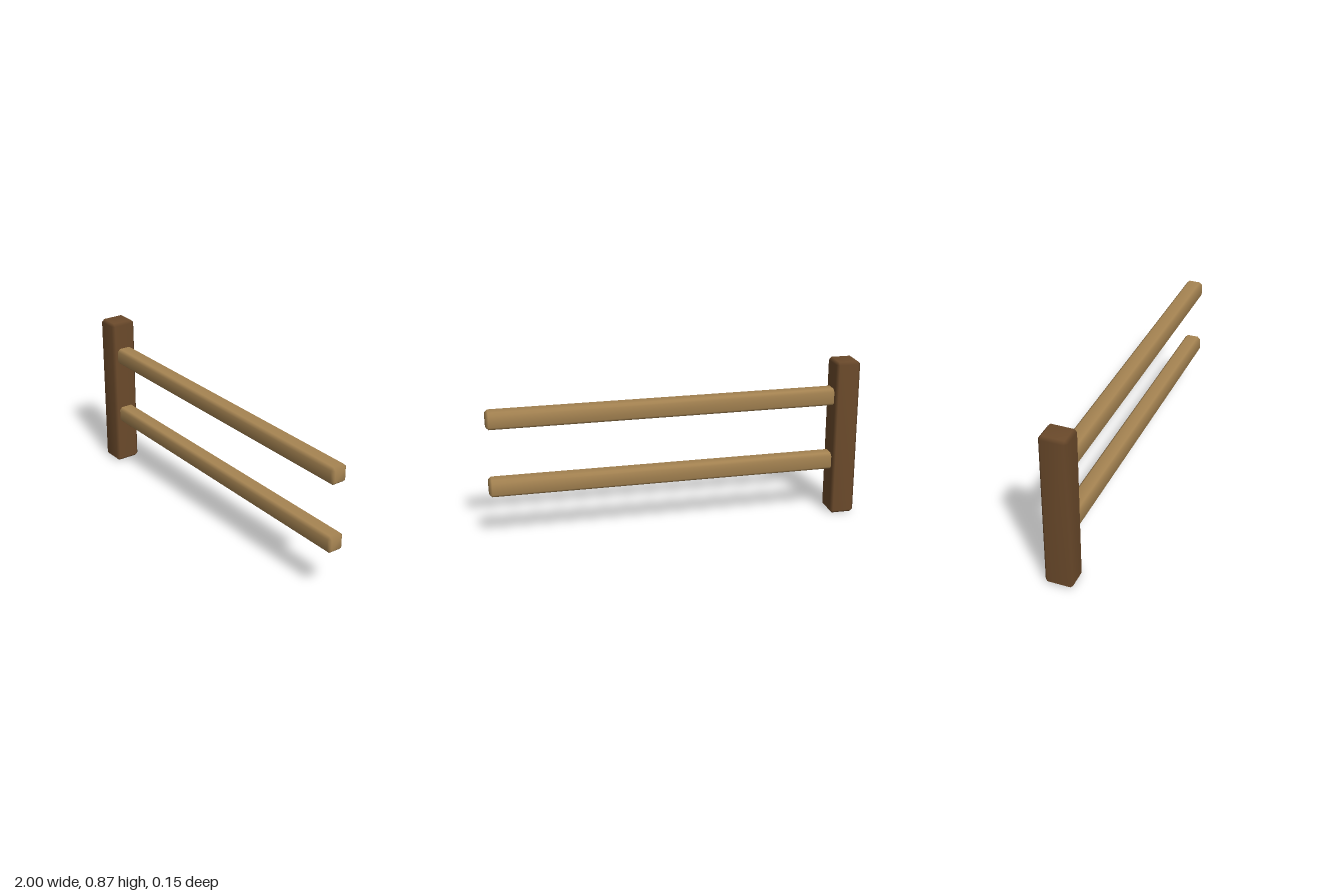
import * as THREE from 'three';
import { mergeVertices } from 'three/addons/utils/BufferGeometryUtils.js';
import { ConvexGeometry } from 'three/addons/geometries/ConvexGeometry.js';

// Box with one-step bevels and softened normals
function beveledBox(w, h, d, bevel) {
  const half = [w / 2, h / 2, d / 2];
  const points = [];
  for (const sx of [-1, 1]) for (const sy of [-1, 1]) for (const sz of [-1, 1]) {
    const signs = [sx, sy, sz];
    for (let axis = 0; axis < 3; axis++) {
      const c = half.map((v, i) => signs[i] * (i === axis ? v : v - bevel));
      points.push(new THREE.Vector3(...c));
    }
  }
  const hull = new ConvexGeometry(points);
  hull.deleteAttribute('normal');
  const geometry = mergeVertices(hull, 1e-4);
  geometry.computeVertexNormals();
  return geometry;
}

export function createModel() {
  const group = new THREE.Group();
  group.name = 'fenceSection';

  const darkWood = new THREE.MeshStandardMaterial({ color: 0x6b4a2b });
  darkWood.name = 'darkWood';
  const lightWood = new THREE.MeshStandardMaterial({ color: 0xa68452 });
  lightWood.name = 'lightWood';

  // Upright post at the model's right end
  const post = new THREE.Mesh(beveledBox(0.134, 0.868, 0.146, 0.015), darkWood);
  post.name = 'post';
  post.position.set(-0.933, 0.434, 0);
  group.add(post);

  // Two rails running through the post
  const railGeometry = beveledBox(1.995, 0.092, 0.092, 0.015);
  [['lowerRail', 0.301], ['upperRail', 0.668]].forEach(([name, y]) => {
    const rail = new THREE.Mesh(railGeometry, lightWood);
    rail.name = name;
    rail.position.set(0.0025, y, 0);
    group.add(rail);
  });

  return group;
}
